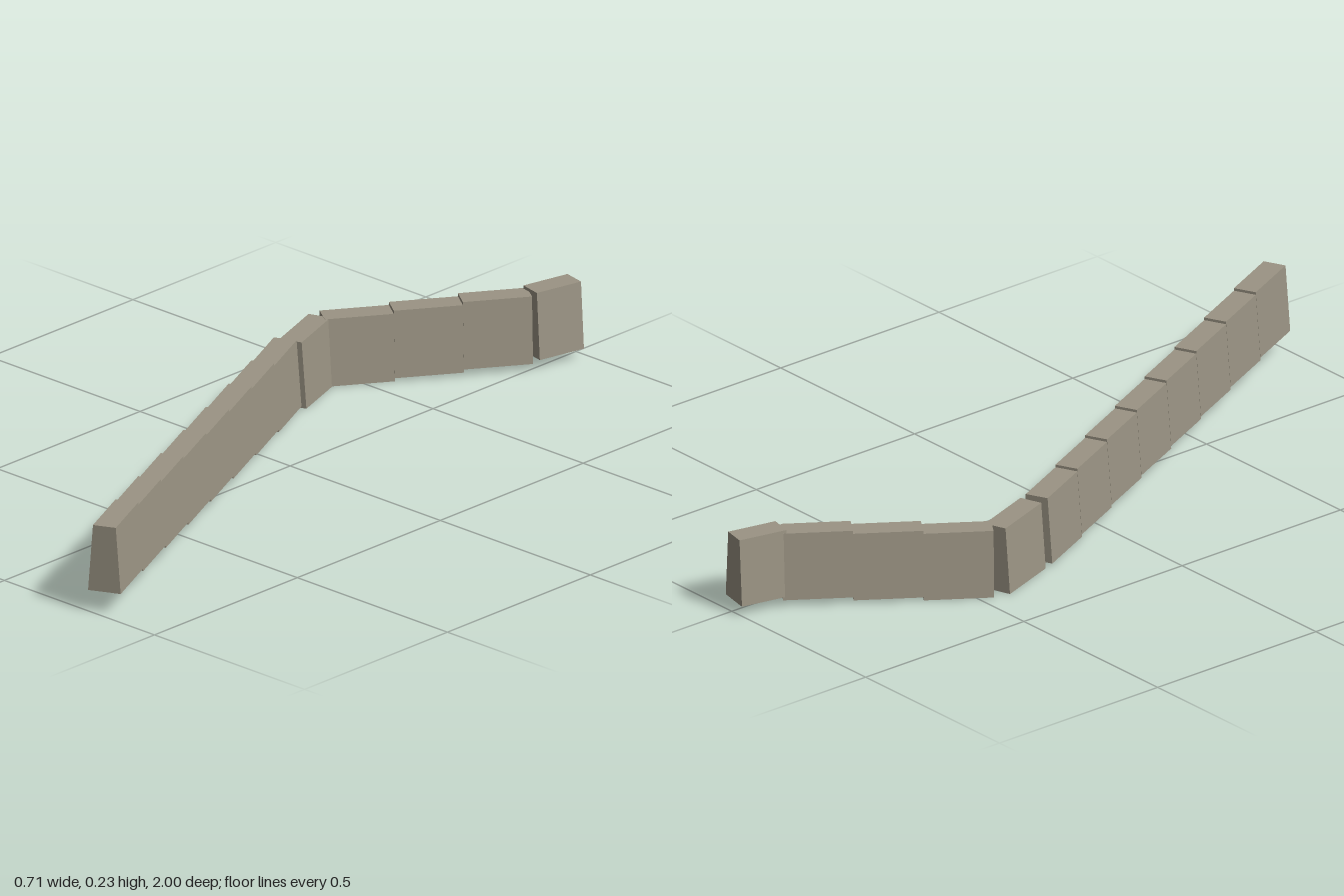
import * as THREE from 'three';

const HEIGHT = 0.171;
const BASE_HALF = 0.0415;
const TOP_HALF = 0.029;

export function createModel() {
  const model = new THREE.Group();
  model.name = 'steppedWall';

  const stone = new THREE.MeshStandardMaterial({ color: 0x9b9484 });
  stone.name = 'weathered stone';

  // Battered wall cross-section: wide foot, narrow top
  const profile = new THREE.Shape([
    new THREE.Vector2(-BASE_HALF, 0),
    new THREE.Vector2(BASE_HALF, 0),
    new THREE.Vector2(TOP_HALF, HEIGHT),
    new THREE.Vector2(-TOP_HALF, HEIGHT),
  ]);

  // Straight run of equal blocks from one ground point to another, stepping up by rise
  function addRun(name, [x0, z0], [x1, z1], count, base, rise) {
    const run = new THREE.Group();
    run.name = name;
    const dx = (x1 - x0) / count;
    const dz = (z1 - z0) / count;
    const geometry = new THREE.ExtrudeGeometry(profile, {
      depth: Math.hypot(dx, dz),
      bevelEnabled: false,
    });
    for (let i = 0; i < count; i++) {
      const block = new THREE.Mesh(geometry, stone);
      block.name = 'wallBlock';
      block.position.set(x0 + dx * i, base + rise * i, z0 + dz * i);
      block.rotation.y = Math.atan2(dx, dz);
      run.add(block);
    }
    model.add(run);
  }

  // Long run climbing towards the front
  addRun('frontRun', [-0.264, -0.26], [0.317, 0.983], 8, 0.008, 0.0067);
  // Lowest block, easing into the corner
  addRun('cornerBlock', [-0.26, -0.275], [-0.318, -0.437], 1, 0, 0);
  // Short run climbing towards the back
  addRun('backRun', [-0.315, -0.443], [-0.026, -0.865], 3, 0.001, 0.008);
  // Turned end block
  addRun('backEndBlock', [-0.024, -0.865], [0.003, -0.991], 1, 0.025, 0);

  return model;
}
